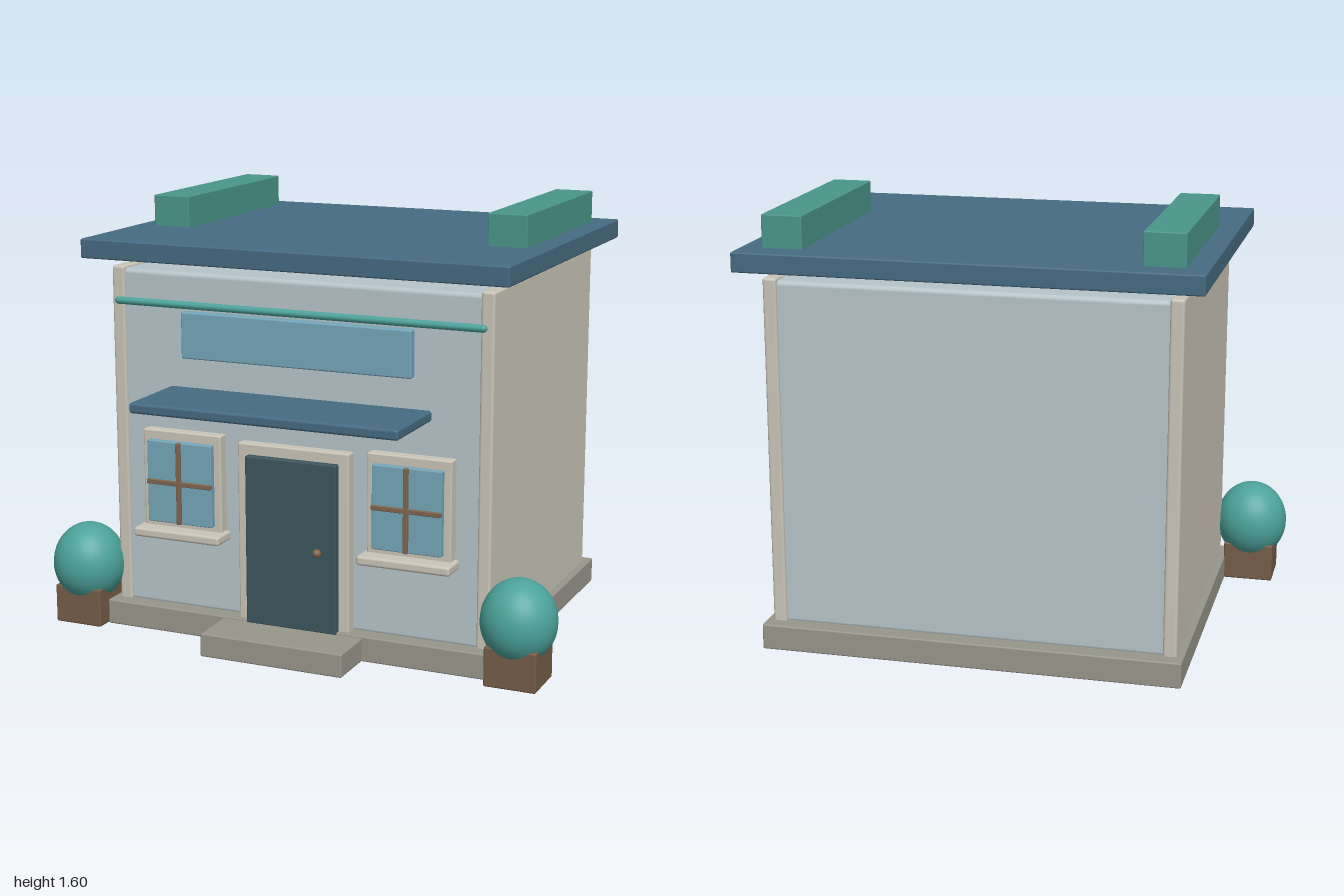
import * as THREE from 'three';
import { RoundedBoxGeometry } from 'three/addons/geometries/RoundedBoxGeometry.js';

const mat = (name, color) => {
  const m = new THREE.MeshStandardMaterial({ color });
  m.name = name;
  return m;
};

export function createModel() {
  const wallBlue = mat('pale blue wall', 0xb6c5ca);
  const cream = mat('cream trim', 0xcac5b8);
  const stone = mat('grey stone', 0x98968b);
  const slate = mat('slate blue roof', 0x466b82);
  const green = mat('green roof block', 0x4a968a);
  const teal = mat('teal leaves', 0x4ca39c);
  const glass = mat('blue glass', 0x75a6b9);
  const doorColor = mat('dark door', 0x3c565e);
  const wood = mat('brown planter', 0x775c46);
  const bronze = mat('bronze', 0x80664f);

  const model = new THREE.Group();
  model.name = 'shop';

  // Softly bevelled box given by its extents on each axis
  const box = (name, material, [x0, x1], [y0, y1], [z0, z1], r = 0.006, parent = model) => {
    const mesh = new THREE.Mesh(new RoundedBoxGeometry(x1 - x0, y1 - y0, z1 - z0, 2, r), material);
    mesh.position.set((x0 + x1) / 2, (y0 + y1) / 2, (z0 + z1) / 2);
    mesh.name = name;
    parent.add(mesh);
    return mesh;
  };

  // Foundation and front step
  box('foundation', stone, [-0.77, 0.77], [0, 0.095], [-0.725, 0.515]);
  box('frontStep', stone, [-0.28, 0.28], [0, 0.088], [0.4, 0.7]);

  // Building body between two side walls
  box('body', wallBlue, [-0.72, 0.72], [0.085, 1.362], [-0.66, 0.452], 0.018);
  for (const s of [-1, 1]) {
    const x = s * 0.72;
    box('sideWall', cream, [x - 0.025, x + 0.025], [0.085, 1.372], [-0.672, 0.462], 0.01);
  }

  // Floating roof slab and its two long blocks
  box('roof', slate, [-0.825, 0.825], [1.405, 1.477], [-0.76, 0.547]);
  for (const s of [-1, 1]) {
    const x = s * 0.672;
    box('roofBlock', green, [x - 0.074, x + 0.074], [1.465, 1.595], [-0.66, 0.13], 0.004);
  }

  // Door
  box('doorFrame', cream, [-0.22, 0.22], [0.08, 0.76], [0.43, 0.495]);
  box('door', doorColor, [-0.18, 0.18], [0.085, 0.72], [0.47, 0.52]);
  const knob = new THREE.Mesh(new THREE.SphereGeometry(0.016, 16, 12), bronze);
  knob.name = 'doorKnob';
  knob.position.set(0.11, 0.39, 0.53);
  model.add(knob);

  // Windows
  for (const s of [-1, 1]) {
    const win = new THREE.Group();
    win.name = 'window';
    win.position.x = s * 0.45;
    box('windowFrame', cream, [-0.16, 0.16], [0.39, 0.775], [0.43, 0.495], 0.006, win);
    box('windowPane', glass, [-0.132, 0.132], [0.43, 0.74], [0.48, 0.52], 0.004, win);
    box('verticalBar', bronze, [-0.009, 0.009], [0.43, 0.74], [0.51, 0.531], 0.003, win);
    box('horizontalBar', bronze, [-0.132, 0.132], [0.576, 0.594], [0.51, 0.529], 0.003, win);
    box('windowSill', cream, [-0.177, 0.177], [0.375, 0.41], [0.45, 0.558], 0.01, win);
    model.add(win);
  }

  // Awning, sign board and rail
  box('awning', slate, [-0.515, 0.515], [0.898, 0.937], [0.44, 0.763], 0.01);
  box('signBoard', glass, [-0.45, 0.45], [1.05, 1.222], [0.44, 0.485]);
  const rail = new THREE.Mesh(new THREE.CapsuleGeometry(0.014, 1.42, 4, 12), teal);
  rail.name = 'signRail';
  rail.rotation.z = Math.PI / 2;
  rail.position.set(0, 1.247, 0.477);
  model.add(rail);

  // Potted shrubs
  for (const s of [-1, 1]) {
    const x = s * 0.862;
    box('planter', wood, [x - 0.096, x + 0.096], [0.004, 0.15], [0.393, 0.582]);
    const shrub = new THREE.Mesh(new THREE.SphereGeometry(1, 32, 24), teal);
    shrub.name = 'shrub';
    shrub.scale.set(0.137, 0.153, 0.137);
    shrub.position.set(x, 0.228, 0.487);
    model.add(shrub);
  }

  return model;
}
